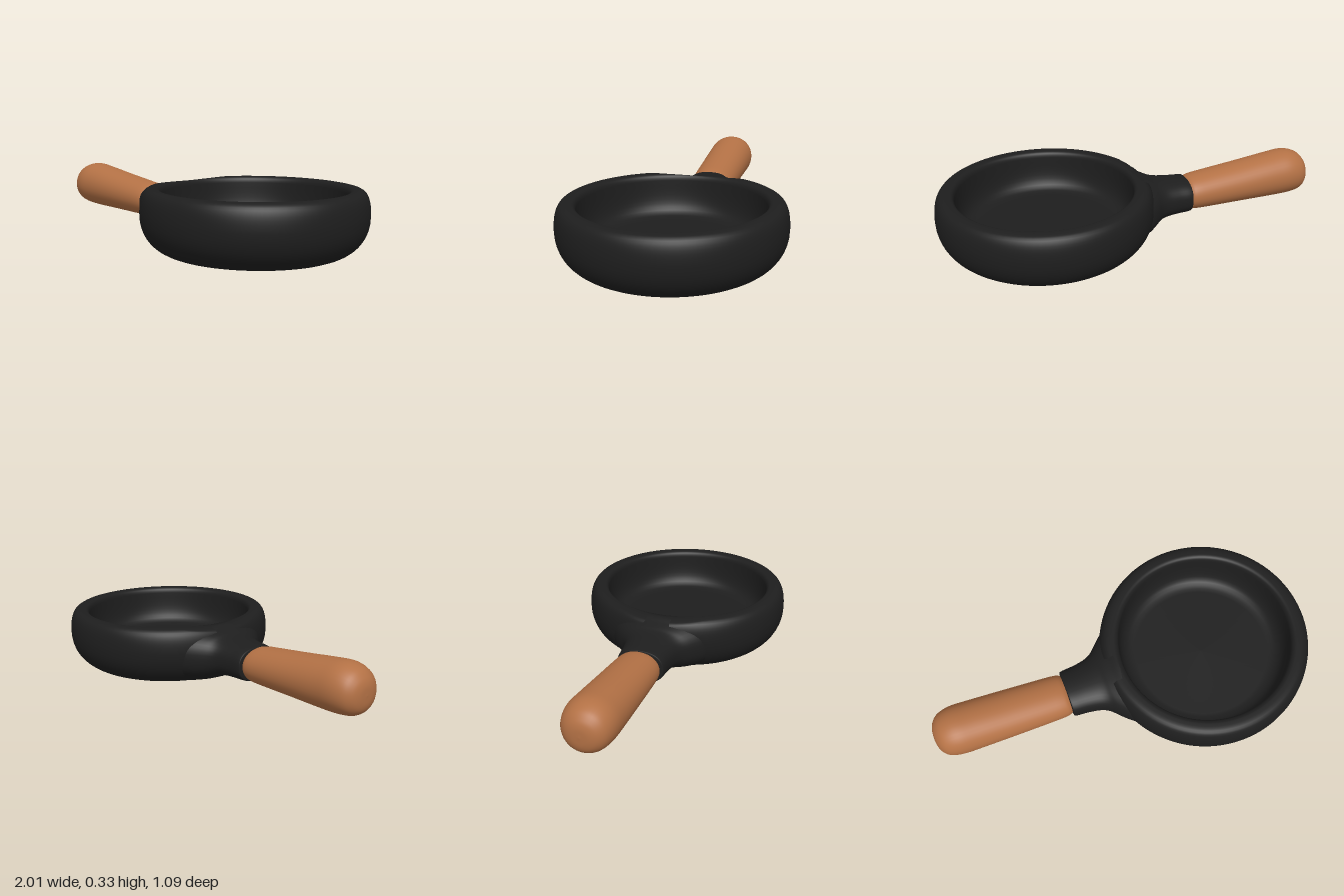
import * as THREE from 'three';

const PAN_X = 0.46;
const WALL_R = 0.48; // radius inside the pan wall where the neck ends

// Smooth loft along x through sections [x, halfWidth, yLow, yHigh, bend].
// power shapes the cross-section (2 = ellipse); bend wraps a section round the pan.
function loft(sections, power, steps = 6, sides = 40) {
  const a = new THREE.CatmullRomCurve3(
    sections.map(([x, , lo, hi]) => new THREE.Vector3(x, lo, hi)), false, 'catmullrom');
  const b = new THREE.CatmullRomCurve3(
    sections.map(([, w, , , bend = 0]) => new THREE.Vector3(w, bend, 0)), false, 'catmullrom');
  const rows = (sections.length - 1) * steps;
  const round = (v) => Math.sign(v) * Math.abs(v) ** (2 / power);
  const pos = [], index = [];
  for (let i = 0; i <= rows; i++) {
    const p = a.getPoint(i / rows), q = b.getPoint(i / rows);
    const mid = (p.y + p.z) / 2, half = (p.z - p.y) / 2;
    for (let j = 0; j < sides; j++) {
      const t = (j / sides) * Math.PI * 2;
      const z = q.x * round(Math.cos(t));
      const wrap = WALL_R - Math.sqrt(Math.max(0, WALL_R ** 2 - z * z));
      pos.push(p.x + q.y * wrap, mid + half * round(Math.sin(t)), z);
      if (i < rows) {
        const k = (j + 1) % sides, r = i * sides, s = r + sides;
        index.push(r + j, s + j, r + k, s + j, s + k, r + k);
      }
    }
  }
  const g = new THREE.BufferGeometry();
  g.setAttribute('position', new THREE.Float32BufferAttribute(pos, 3));
  g.setIndex(index);
  g.computeVertexNormals();
  return g;
}

// Lathed pan whose rim dips gently where the neck runs into it
function panGeometry() {
  const profile = new THREE.Path();
  profile.moveTo(0, 0);
  profile.lineTo(0.385, 0);
  profile.lineTo(0.395, 0.001);
  profile.bezierCurveTo(0.475, 0.015, 0.545, 0.08, 0.545, 0.19);
  profile.bezierCurveTo(0.545, 0.25, 0.535, 0.308, 0.495, 0.31);
  profile.lineTo(0.485, 0.311);
  profile.lineTo(0.47, 0.311);
  profile.bezierCurveTo(0.453, 0.31, 0.445, 0.3, 0.443, 0.28);
  profile.bezierCurveTo(0.44, 0.19, 0.44, 0.11, 0.37, 0.102);
  profile.lineTo(0.35, 0.1);
  profile.lineTo(0, 0.1);
  const points = profile.getPoints(10);
  points.forEach((p) => { p.x = Math.max(0, p.x); });
  const g = new THREE.LatheGeometry(points, 96);
  g.translate(PAN_X, 0, 0);
  const pos = g.attributes.position;
  for (let i = 0; i < pos.count; i++) {
    const t = Math.max(0, (0.03 - pos.getX(i)) / 0.07);
    pos.setY(i, Math.min(pos.getY(i), 0.311 - 0.021 * t ** 1.3));
  }
  return g;
}

export function createModel() {
  const iron = new THREE.MeshStandardMaterial({ color: 0x1e1e1e });
  iron.name = 'castIron';
  const wood = new THREE.MeshStandardMaterial({ color: 0xb37145 });
  wood.name = 'wood';
  const group = new THREE.Group();
  const add = (name, geometry, material) => {
    const m = new THREE.Mesh(geometry, material);
    m.name = name;
    group.add(m);
  };

  add('pan', panGeometry(), iron);

  // Neck: flares out from the handle, then closes inside the pan wall and base
  add('neck', loft([
    [-0.3, 0, 0.165, 0.165],
    [-0.3, 0.06, 0.12, 0.21],
    [-0.3, 0.11, 0.084, 0.243],
    [-0.287, 0.122, 0.074, 0.25],
    [-0.22, 0.128, 0.071, 0.254],
    [-0.155, 0.141, 0.067, 0.259],
    [-0.115, 0.164, 0.06, 0.266, 0.1],
    [-0.085, 0.205, 0.05, 0.277, 0.3],
    [-0.053, 0.26, 0.036, 0.288, 0.6],
    [-0.015, 0.315, 0.019, 0.301, 0.95],
    [0, 0.325, 0.013, 0.29, 1],
    [0.015, 0.32, 0.009, 0.2, 1],
    [0.06, 0.29, 0.001, 0.08, 1],
    [0.1, 0.2, 0.02, 0.07, 1],
    [0.1, 0, 0.045, 0.045, 1],
  ], 2.4), iron);

  // Handle: swells and rises towards its rounded free end
  add('handle', loft([
    [-1, 0, 0.2, 0.2],
    [-0.996, 0.045, 0.15, 0.245],
    [-0.98, 0.082, 0.117, 0.28],
    [-0.945, 0.111, 0.095, 0.311],
    [-0.88, 0.126, 0.085, 0.327],
    [-0.78, 0.126, 0.081, 0.317],
    [-0.6, 0.122, 0.079, 0.292],
    [-0.42, 0.117, 0.076, 0.269],
    [-0.34, 0.113, 0.076, 0.258],
    [-0.308, 0.105, 0.082, 0.248],
    [-0.296, 0.085, 0.1, 0.23],
    [-0.294, 0, 0.165, 0.165],
  ], 2.05), wood);

  return group;
}
